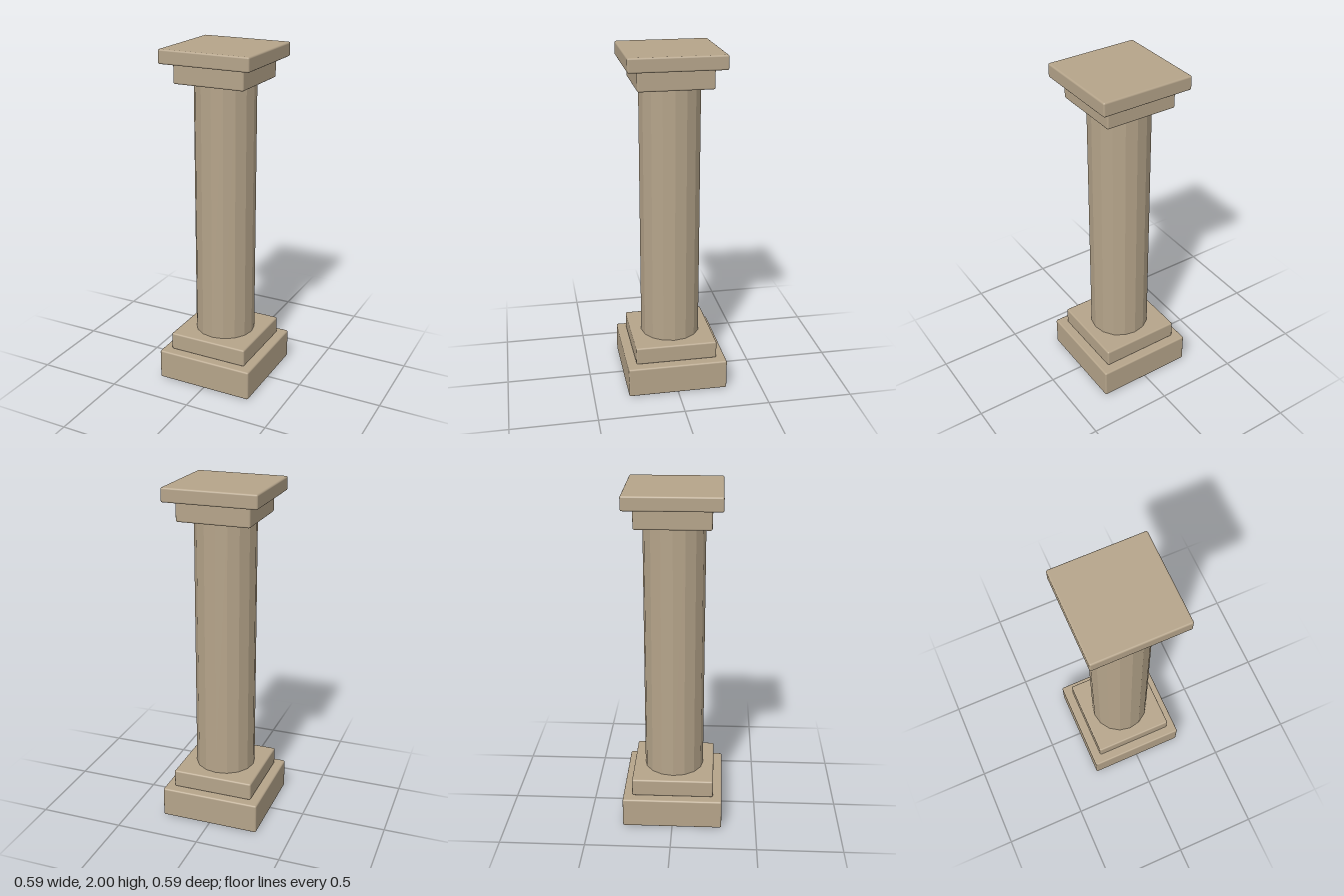
import * as THREE from 'three';
import { RoundedBoxGeometry } from 'three/addons/geometries/RoundedBoxGeometry.js';

const stone = new THREE.MeshStandardMaterial({ color: 0xb5a48a });
stone.name = 'stone';

// Facets of the shaft stay crisp
const facetedShaft = (radius, height) => {
  const geometry = new THREE.CylinderGeometry(radius, radius, height, 16).toNonIndexed();
  geometry.computeVertexNormals();
  return geometry;
};

export function createModel() {
  const group = new THREE.Group();
  group.name = 'column';

  const add = (name, geometry, bottom, top) => {
    const mesh = new THREE.Mesh(geometry, stone);
    mesh.name = name;
    mesh.position.y = (bottom + top) / 2;
    group.add(mesh);
  };

  // Square slabs with softened edges: name, width, bottom, top
  const slabs = [
    ['plinth', 0.59, 0, 0.18],
    ['baseStep', 0.483, 0.18, 0.286],
    ['capital', 0.425, 1.805, 1.919],
    ['abacus', 0.543, 1.919, 2],
  ];
  for (const [name, width, bottom, top] of slabs) {
    add(name, new RoundedBoxGeometry(width, top - bottom, width, 2, 0.01), bottom, top);
  }

  // Sixteen-sided shaft
  add('shaft', facetedShaft(0.177, 1.519), 0.286, 1.805);

  return group;
}
